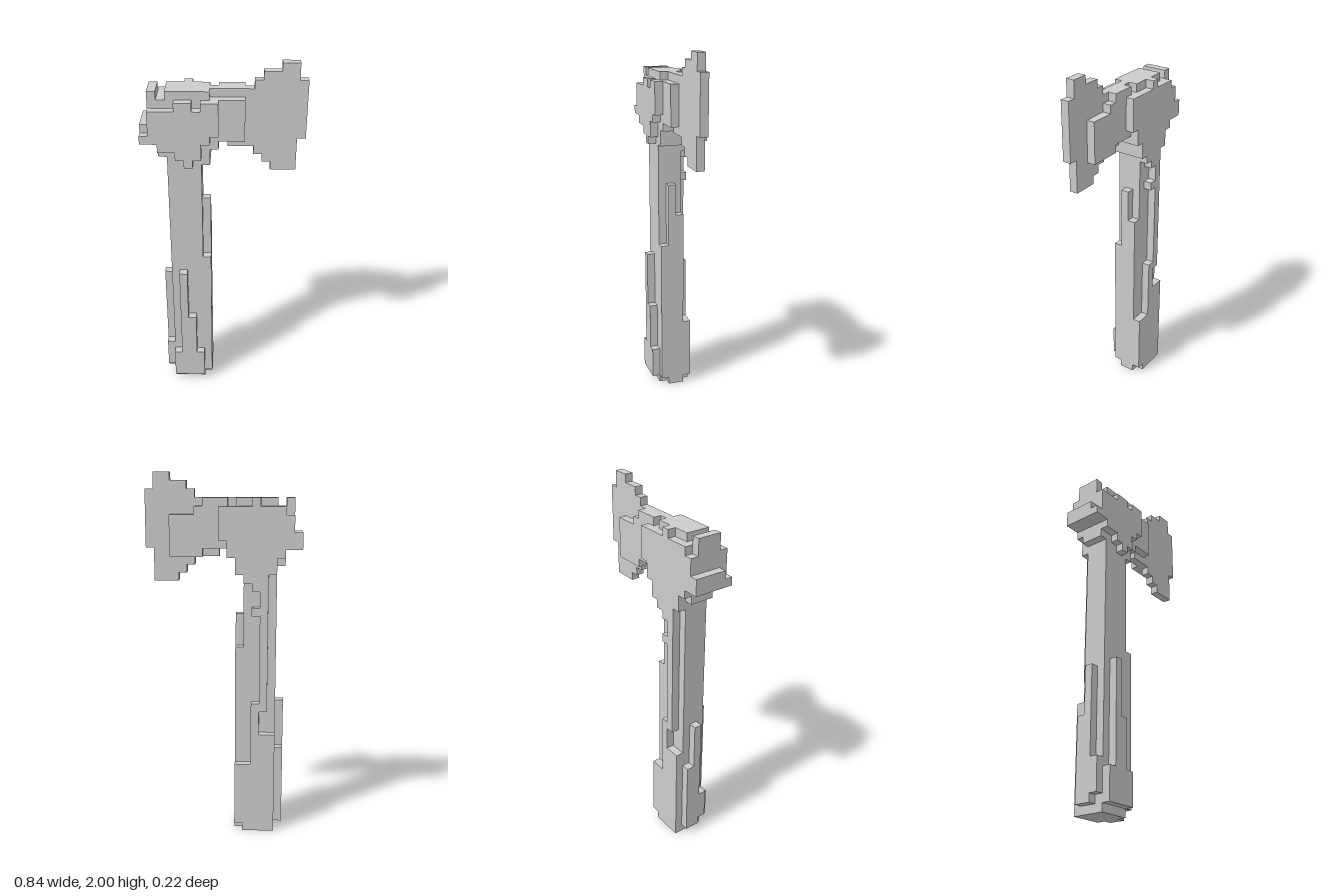
import * as THREE from 'three';

const NX = 19, NY = 45, NZ = 5, S = 2 / 45;

// Blocks in grid cells: [x0, x1, y0, y1, z0, z1], z counted from the back
const parts = {
  handle: [
    [3, 7, 0, 36, 1, 4], [3, 7, 0, 1, 0, 1],
    // side ridge towards the blade
    [7, 8, 0, 24, 1, 2], [7, 8, 0, 28, 2, 3], [7, 8, 1, 20, 3, 4],
    // opposite side ridge
    [2, 3, 1, 11, 1, 2], [2, 3, 1, 17, 2, 3], [2, 3, 2, 6, 3, 4],
  ],
  frontGrip: [
    [3, 7, 1, 5, 4, 5], [4, 5, 5, 18, 4, 5], [5, 6, 5, 11, 4, 5],
  ],
  backGrip: [
    [3, 8, 1, 9, 0, 1], [3, 6, 9, 13, 0, 1], [5, 6, 13, 17, 0, 1],
    [4, 5, 16, 31, 0, 1], [5, 6, 28, 29, 0, 1],
  ],
  headCore: [
    [1, 2, 36, 42, 1, 4], [2, 3, 34, 41, 1, 4],
    [3, 8, 34, 42, 1, 4], [7, 8, 33, 34, 1, 4],
    [8, 9, 35, 41, 1, 4], [8, 10, 36, 42, 2, 3],
    [9, 12, 36, 42, 1, 2], [9, 12, 36, 41, 3, 4],
  ],
  frontCheek: [
    [1, 8, 36, 40, 4, 5], [8, 9, 37, 41, 4, 5], [4, 6, 40, 41, 4, 5],
    [7, 8, 40, 41, 4, 5], [2, 7, 35, 36, 4, 5], [4, 7, 34, 35, 4, 5],
    [5, 6, 33, 34, 4, 5],
  ],
  backCheek: [
    [1, 2, 36, 40, 0, 1], [2, 9, 36, 41, 0, 1], [9, 10, 37, 41, 0, 1],
    [5, 6, 41, 42, 0, 1], [2, 9, 35, 36, 0, 1], [3, 8, 33, 35, 0, 1],
    [4, 7, 32, 33, 0, 1], [4, 6, 31, 32, 0, 1],
  ],
  poll: [
    [0, 1, 36, 38, 0, 4], [0, 1, 36, 37, 4, 5],
  ],
  blade: [
    [10, 13, 35, 42, 2, 3], [13, 14, 34, 43, 2, 3], [14, 15, 33, 44, 2, 3],
    [15, 16, 32, 44, 2, 3], [16, 18, 32, 45, 2, 3], [18, 19, 36, 43, 2, 3],
  ],
  bladeBacking: [
    [12, 13, 35, 41, 1, 2], [13, 16, 35, 40, 1, 2],
  ],
};

// Fills one shared grid so touching parts leave no hidden faces
function fillGrid() {
  const grid = new Map();
  for (const [name, blocks] of Object.entries(parts))
    for (const [x0, x1, y0, y1, z0, z1] of blocks)
      for (let x = x0; x < x1; x++)
        for (let y = y0; y < y1; y++)
          for (let z = z0; z < z1; z++)
            if (!grid.has(`${x},${y},${z}`)) grid.set(`${x},${y},${z}`, { name, c: [x, y, z] });
  return grid;
}

// Exposed cell faces of one part
function partGeometry(grid, name) {
  const pos = [], nor = [];
  for (const cell of grid.values()) {
    if (cell.name !== name) continue;
    for (let a = 0; a < 3; a++) for (const d of [-1, 1]) {
      const next = [...cell.c];
      next[a] += d;
      if (grid.has(next.join())) continue;
      const u = (a + 1) % 3, v = (a + 2) % 3;
      const quad = [[0, 0], [1, 0], [1, 1], [0, 1]].map(([i, j]) => {
        const p = [...cell.c];
        if (d > 0) p[a] += 1;
        p[u] += i;
        p[v] += j;
        return [(p[0] - NX / 2) * S, p[1] * S, (p[2] - NZ / 2) * S];
      });
      const n = [0, 0, 0];
      n[a] = d;
      for (const k of d > 0 ? [0, 1, 2, 0, 2, 3] : [0, 2, 1, 0, 3, 2]) {
        pos.push(...quad[k]);
        nor.push(...n);
      }
    }
  }
  const g = new THREE.BufferGeometry();
  g.setAttribute('position', new THREE.Float32BufferAttribute(pos, 3));
  g.setAttribute('normal', new THREE.Float32BufferAttribute(nor, 3));
  return g;
}

export function createModel() {
  const group = new THREE.Group();
  group.name = 'axe';
  const material = new THREE.MeshStandardMaterial({ color: 0xcccccc, flatShading: true });
  const grid = fillGrid();
  for (const name of Object.keys(parts)) {
    const mesh = new THREE.Mesh(partGeometry(grid, name), material);
    mesh.name = name;
    group.add(mesh);
  }
  return group;
}
